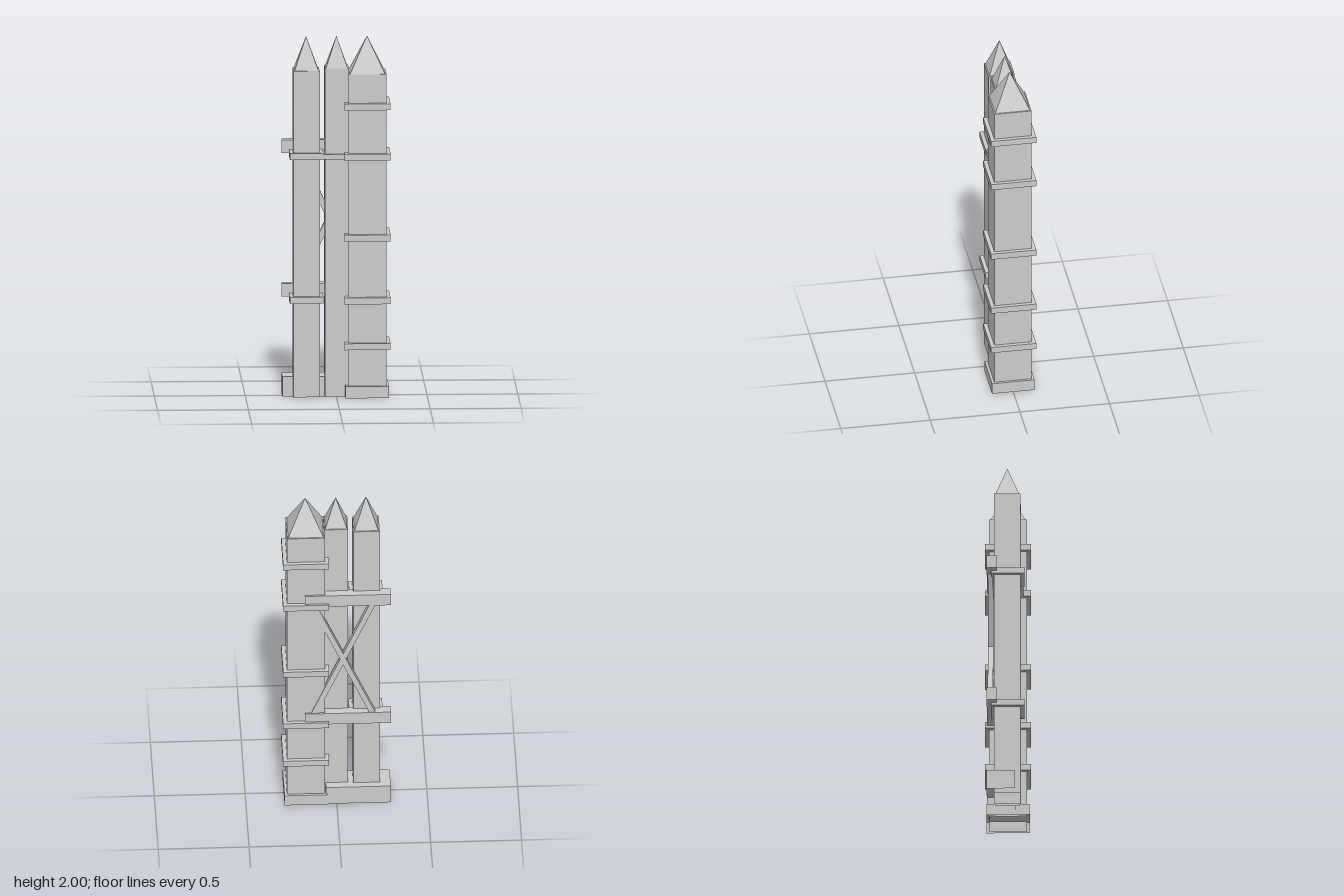
import * as THREE from 'three';

export function createModel() {
  const group = new THREE.Group();
  const stone = new THREE.MeshStandardMaterial({ color: 0xcccccc, side: THREE.DoubleSide });
  stone.name = 'grey stone';

  function add(name, geometry) {
    const mesh = new THREE.Mesh(geometry, stone);
    mesh.name = name;
    group.add(mesh);
    return mesh;
  }

  // Box given by its limits; openBottom leaves out the underside
  function box(name, [x0, x1], [y0, y1], [z0, z1], openBottom = false) {
    const g = new THREE.BoxGeometry(x1 - x0, y1 - y0, z1 - z0);
    if (openBottom) {
      const index = Array.from(g.index.array);
      index.splice(18, 6);
      g.setIndex(index);
    }
    g.translate((x0 + x1) / 2, (y0 + y1) / 2, (z0 + z1) / 2);
    return add(name, g);
  }

  // Square shaft, open below, with a slightly inset pyramid cap
  function tower(name, x, z, half, capHalf, shoulder) {
    box(name + 'Shaft', [x - half, x + half], [0, shoulder], [z - half, z + half], true);
    const h = 2 - shoulder;
    const cap = new THREE.ConeGeometry(capHalf * Math.SQRT2, h, 4, 1, true)
      .rotateY(Math.PI / 4).toNonIndexed();
    cap.computeVertexNormals();
    add(name + 'Cap', cap.translate(x, shoulder + h / 2, z));
  }

  tower('smallTower', -0.165, -0.002, 0.073, 0.066, 1.815);
  tower('middleTower', 0.002, -0.002, 0.066, 0.06, 1.828);
  tower('largeTower', 0.17, -0.001, 0.104, 0.097, 1.8);

  // Bands round the large tower
  for (const y of [0.287, 0.542, 0.892, 1.342, 1.622]) {
    box('largeTowerBand', [0.043, 0.296], [y - 0.018, y + 0.018], [-0.128, 0.125]);
  }
  // Bands round the small tower, and the link across the middle one
  for (const y of [0.542, 1.342]) {
    box('smallTowerBand', [-0.257, -0.072], [y - 0.018, y + 0.018], [-0.09, 0.092]);
  }
  box('middleTowerBand', [-0.072, 0.043], [1.324, 1.353], [-0.08, 0.085]);

  // Feet, hollow underneath
  box('largeTowerFoot', [0.048, 0.288], [0, 0.065], [-0.12, 0.118], true);
  box('rearFoot', [-0.297, 0.06], [0, 0.11], [-0.115, 0.04], true);

  // Rear cross beams
  for (const y of [0.54, 1.34]) {
    box('rearBeam', [-0.297, 0.175], [y, y + 0.073], [-0.115, -0.06]);
  }

  // Diagonal braces between the beams
  for (const side of [-1, 1]) {
    const brace = add('diagonalBrace', new THREE.BoxGeometry(0.03, 0.84, 0.03));
    brace.position.set(-0.035, 0.975, side < 0 ? -0.095 : -0.0945);
    brace.rotation.z = side * 0.415;
  }

  return group;
}
